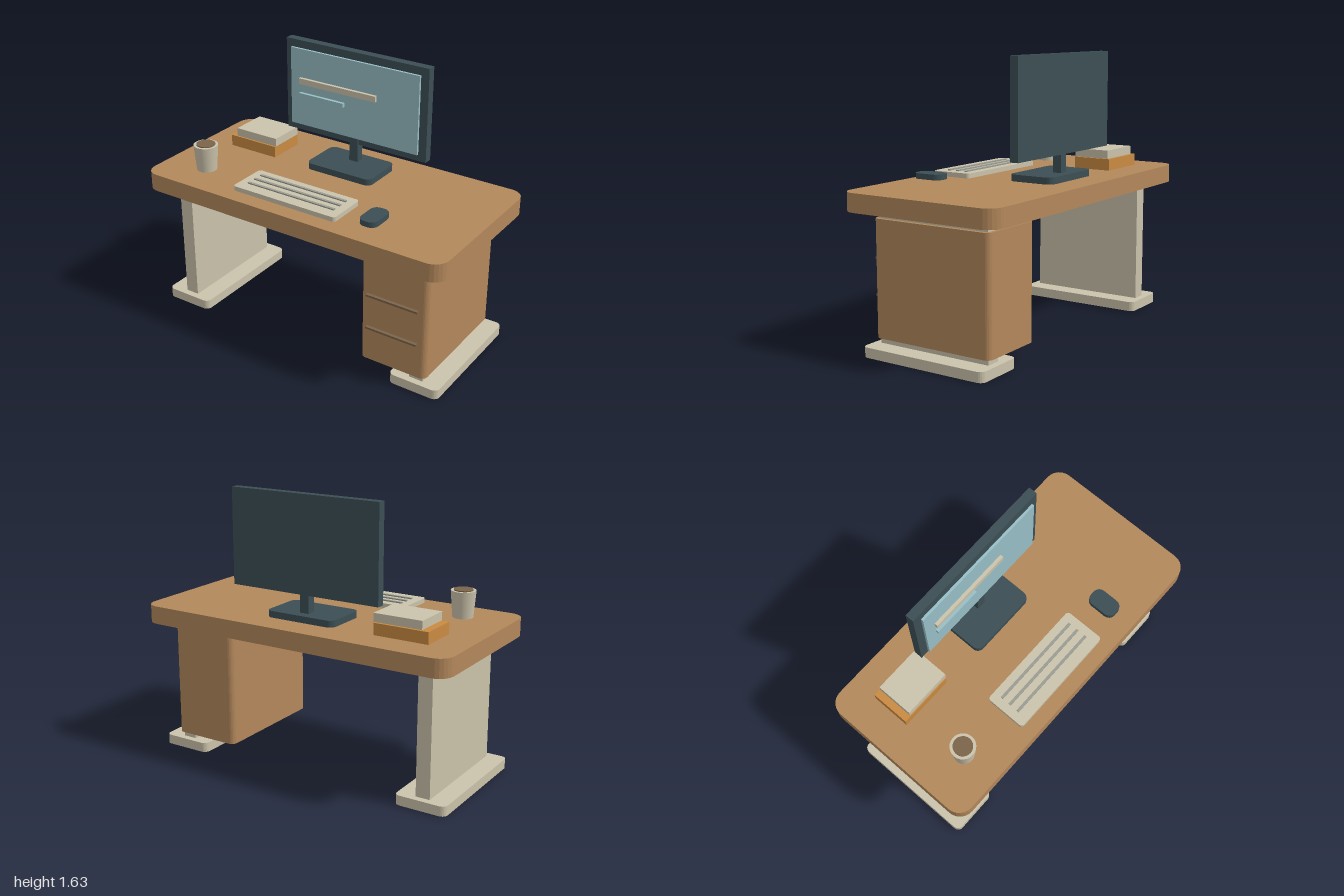
import * as THREE from 'three';

const paint = (name, color) => {
  const m = new THREE.MeshStandardMaterial({ color });
  m.name = name;
  return m;
};

export function createModel() {
  const wood = paint('wood', 0xb3885b);
  const cream = paint('cream', 0xcbc3ab);
  const dark = paint('darkSlate', 0x3c4f54);
  const glass = paint('screenBlue', 0x98bfc6);
  const orange = paint('orange', 0xc98b42);
  const brown = paint('coffeeBrown', 0x7b644a);
  const grey = paint('keyGrey', 0x9a9c92);

  const desk = new THREE.Group();
  desk.name = 'deskWorkstation';

  const add = (parent, name, geometry, material) => {
    const mesh = new THREE.Mesh(geometry, material);
    mesh.name = name;
    parent.add(mesh);
    return mesh;
  };
  const group = (name) => {
    const g = new THREE.Group();
    g.name = name;
    desk.add(g);
    return g;
  };

  // Plain block given by its limits on each axis
  const block = (parent, name, material, [x0, x1], [y0, y1], [z0, z1]) =>
    add(parent, name, new THREE.BoxGeometry(x1 - x0, y1 - y0, z1 - z0), material)
      .position.set((x0 + x1) / 2, (y0 + y1) / 2, (z0 + z1) / 2);

  // Upright slab with rounded vertical corners
  const slab = (parent, name, material, [x0, x1], [y0, y1], [z0, z1], r) => {
    const w = (x1 - x0) / 2, d = (z1 - z0) / 2, q = Math.PI / 2;
    const s = new THREE.Shape();
    s.absarc(w - r, d - r, r, 0, q);
    s.absarc(r - w, d - r, r, q, 2 * q);
    s.absarc(r - w, r - d, r, 2 * q, 3 * q);
    s.absarc(w - r, r - d, r, 3 * q, 4 * q);
    s.closePath();
    const g = new THREE.ExtrudeGeometry(s, { depth: y1 - y0, bevelEnabled: false, curveSegments: 3 });
    g.rotateX(-Math.PI / 2);
    add(parent, name, g, material).position.set((x0 + x1) / 2, y0, (z0 + z1) / 2);
  };

  // Table top
  slab(desk, 'tableTop', wood, [-1, 1], [0.8, 0.907], [-0.5, 0.5], 0.09);

  // Panel legs on flat feet
  for (const [side, c] of [['right', -0.813], ['left', 0.807]]) {
    const leg = group(side + 'Leg');
    block(leg, 'legPanel', cream, [c - 0.043, c + 0.043], [0.058, 0.796], [-0.36, 0.36]);
    slab(leg, 'foot', cream, [c - 0.155, c + 0.155], [0, 0.058], [-0.4, 0.4], 0.035);
  }

  // Drawer cabinet with two bar handles
  const cabinet = group('cabinet');
  slab(cabinet, 'cabinetBody', wood, [0.453, 0.873], [0.09, 0.756], [-0.382, 0.382], 0.035);
  for (const y of [0.315, 0.525])
    block(cabinet, 'drawerHandle', brown, [0.503, 0.825], [y - 0.006, y + 0.006], [0.392, 0.412]);

  // Monitor on its stand
  const monitor = group('monitor');
  slab(monitor, 'standBase', dark, [-0.223, 0.221], [0.913, 0.952], [-0.343, -0.06], 0.04);
  block(monitor, 'standNeck', dark, [-0.03, 0.028], [0.95, 1.155], [-0.285, -0.233]);
  block(monitor, 'frame', dark, [-0.485, 0.481], [1.06, 1.627], [-0.297, -0.245]);
  block(monitor, 'screen', glass, [-0.439, 0.435], [1.105, 1.583], [-0.237, -0.222]);
  block(monitor, 'upperScreenBar', cream, [-0.37, 0.16], [1.371, 1.407], [-0.224, -0.202]);
  block(monitor, 'lowerScreenBar', glass, [-0.37, -0.06], [1.288, 1.314], [-0.224, -0.202]);

  // Keyboard with three key rows
  const keyboard = group('keyboard');
  slab(keyboard, 'keyboardBody', cream, [-0.396, 0.3], [0.917, 0.945], [0.166, 0.417], 0.02);
  for (const z of [0.223, 0.281, 0.34])
    block(keyboard, 'keyRow', grey, [-0.343, 0.249], [0.943, 0.952], [z - 0.008, z + 0.008]);

  // Mouse
  slab(desk, 'mouse', dark, [0.421, 0.531], [0.93, 0.962], [0.203, 0.383], 0.043);

  // Mug filled with coffee
  const mug = group('mug');
  mug.position.set(-0.713, 0, 0.268);
  add(mug, 'cup', new THREE.CylinderGeometry(0.073, 0.06, 0.157, 24), cream).position.y = 0.989;
  add(mug, 'coffee', new THREE.CylinderGeometry(0.056, 0.056, 0.009, 24), brown).position.y = 1.069;

  // Stacked books
  const books = group('books');
  block(books, 'lowerBook', orange, [-0.803, -0.471], [0.91, 0.979], [-0.32, -0.083]);
  block(books, 'upperBook', cream, [-0.761, -0.465], [0.982, 1.032], [-0.313, -0.088]);

  return desk;
}
